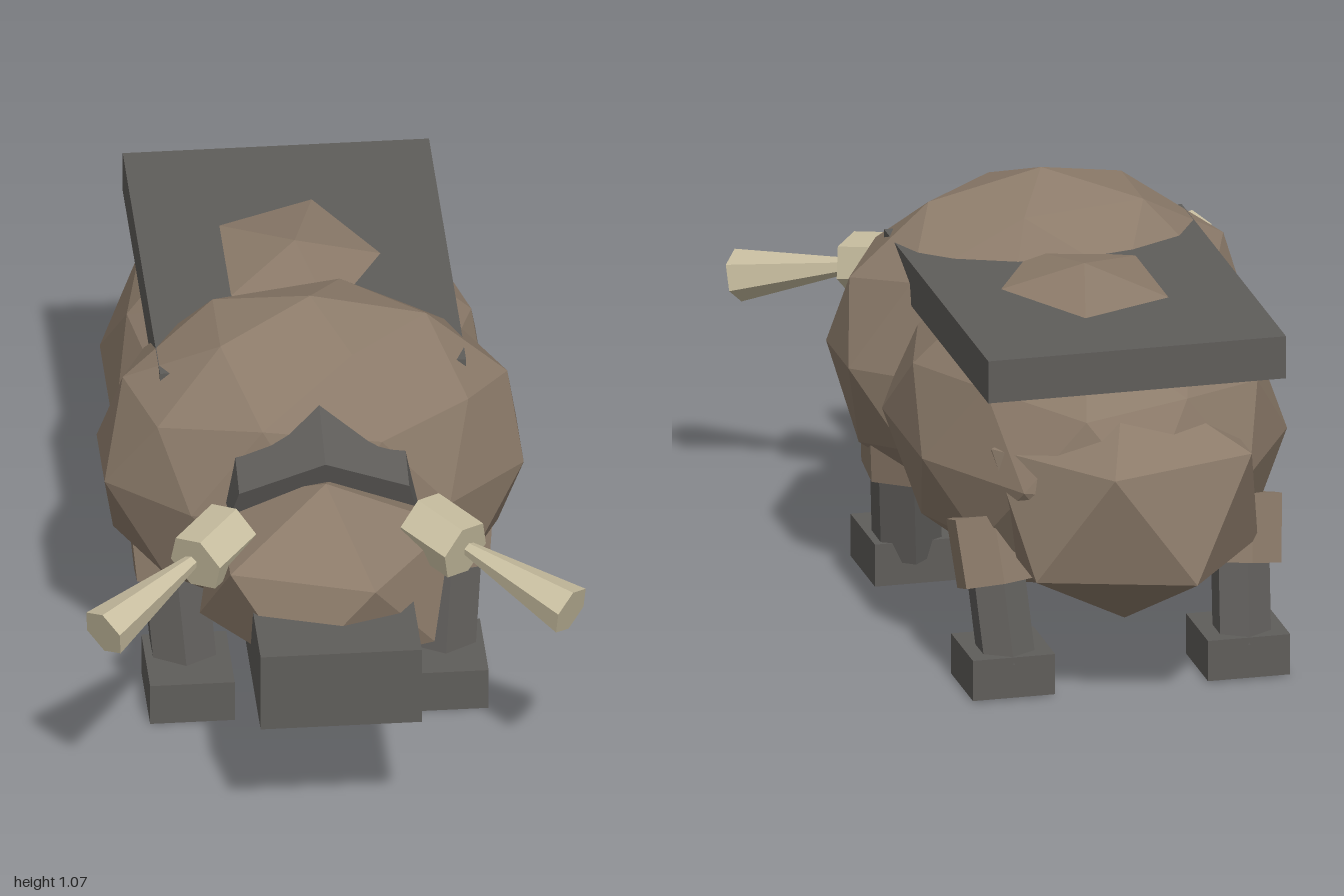
import * as THREE from 'three';

const hide = new THREE.MeshStandardMaterial({ color: 0x8c7b6a, flatShading: true });
hide.name = 'brown hide';
const iron = new THREE.MeshStandardMaterial({ color: 0x5f5d5a, flatShading: true });
iron.name = 'dark iron';
const bone = new THREE.MeshStandardMaterial({ color: 0xc8bea0, flatShading: true });
bone.name = 'pale bone';

export function createModel() {
  const model = new THREE.Group();
  model.name = 'armouredBeast';

  const add = (name, geometry, material, parent = model) => {
    const mesh = new THREE.Mesh(geometry, material);
    mesh.name = name;
    parent.add(mesh);
    return mesh;
  };

  // Faceted ball with a vertex at its top pole
  const ball = (name, detail, [rx, ry, rz], [x, y, z]) => {
    const g = new THREE.IcosahedronGeometry(1, detail);
    g.rotateX(-Math.atan2((1 + Math.sqrt(5)) / 2, 1)).rotateY(Math.PI / 2);
    g.scale(rx, ry, rz).translate(x, y, z);
    return add(name, g, hide);
  };

  const box = (name, [x0, y0, z0], [x1, y1, z1], material, parent) => {
    const g = new THREE.BoxGeometry(x1 - x0, y1 - y0, z1 - z0);
    g.translate((x0 + x1) / 2, (y0 + y1) / 2, (z0 + z1) / 2);
    return add(name, g, material, parent);
  };

  // Six-sided prism or cone running from point a (radius ra) to b (radius rb)
  const limb = (name, a, b, ra, rb, material, parent) => {
    const from = new THREE.Vector3(...a), to = new THREE.Vector3(...b);
    const dir = to.clone().sub(from);
    const mesh = add(name, new THREE.CylinderGeometry(rb, ra, dir.length(), 6), material, parent);
    mesh.position.copy(from).add(to).multiplyScalar(0.5);
    mesh.quaternion.setFromUnitVectors(new THREE.Vector3(0, 1, 0), dir.normalize());
    return mesh;
  };

  // Body masses
  ball('shoulders', 1, [0.547, 0.445, 0.356], [0, 0.622, 0.14]);
  ball('barrel', 1, [0.49, 0.405, 0.64], [0, 0.555, -0.29]);
  ball('rump', 0, [0.38, 0.325, 0.37], [0, 0.49, -0.685]);
  ball('head', 0, [0.35, 0.248, 0.35], [0, 0.542, 0.575]);

  // Plates
  box('backPlate', [-0.38, 0.8, -0.81], [0.38, 0.91, 0.22], iron);
  box('snoutPlate', [-0.2, 0.35, 0.6], [0.2, 0.56, 1], iron);

  // Collar, tilted down towards the front
  const collar = add('collar', new THREE.CylinderGeometry(0.27, 0.27, 0.2, 7).rotateX(-Math.PI / 2), iron);
  collar.rotation.x = THREE.MathUtils.degToRad(20);
  collar.position.set(0, 0.62, 0.379);

  for (const s of [1, -1]) {
    const side = new THREE.Group();
    side.name = s > 0 ? 'leftSide' : 'rightSide';
    model.add(side);

    // Horns flare outwards from a thick root
    limb('hornRoot', [s * 0.235, 0.68, 0.59], [s * 0.335, 0.655, 0.7], 0.08, 0.08, bone, side);
    limb('horn', [s * 0.325, 0.66, 0.675], [s * 0.58, 0.583, 0.888], 0.015, 0.066, bone, side);

    // Front leg
    limb('frontThigh', [s * 0.35, 0.305, 0.175], [s * 0.37, 0.52, 0.12], 0.1, 0.1, hide, side);
    limb('frontLeg', [s * 0.32, 0.075, 0.225], [s * 0.345, 0.38, 0.155], 0.09, 0.09, iron, side);
    box('frontFoot', [s * 0.315 - 0.105, 0, 0.155], [s * 0.315 + 0.105, 0.11, 0.395], iron, side);

    // Rear leg
    limb('rearThigh', [s * 0.315, 0.265, -0.63], [s * 0.33, 0.43, -0.58], 0.1, 0.1, hide, side);
    limb('rearLeg', [s * 0.3, 0.07, -0.685], [s * 0.315, 0.34, -0.605], 0.075, 0.075, iron, side);
    box('rearFoot', [s * 0.3 - 0.105, 0.005, -0.755], [s * 0.3 + 0.105, 0.11, -0.54], iron, side);
  }
  return model;
}
